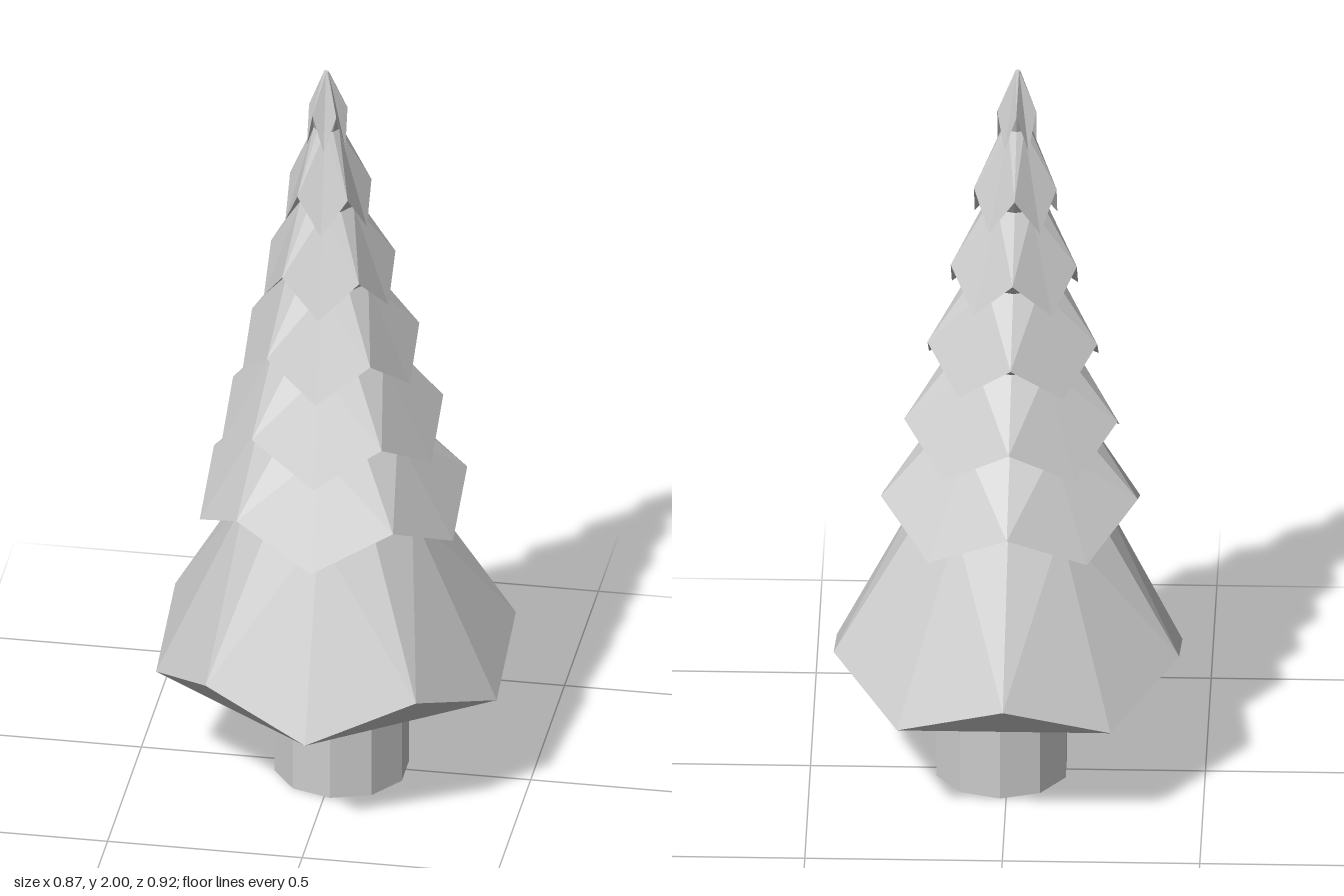
import * as THREE from 'three';

const SIDES = 10;
const TIERS = 7;

const material = new THREE.MeshStandardMaterial({ color: 0xcccccc, flatShading: true });

// Ring of points; zigzag lowers the even corners and lifts the odd ones.
// The tree leans slightly towards -x as it rises.
function ring(radius, y, zigzag = 0) {
  const lean = -0.025 * Math.max(0, y - 0.35) / 1.65;
  return Array.from({ length: SIDES }, (_, i) => {
    const a = (i / SIDES) * Math.PI * 2;
    return new THREE.Vector3(
      lean + Math.sin(a) * radius,
      y + (i % 2 ? zigzag : -zigzag),
      Math.cos(a) * radius
    );
  });
}

// Join two rings; the diagonals alternate so each facet pair mirrors its neighbour.
function band(out, lower, upper, foldAtOdd) {
  for (let i = 0; i < SIDES; i++) {
    const j = (i + 1) % SIDES;
    const [a, b, c, d] = [lower[i], lower[j], upper[j], upper[i]];
    if ((i % 2 === 1) === foldAtOdd) out.push(a, b, c, a, c, d);
    else out.push(a, b, d, b, c, d);
  }
}

function facetMesh(name, points) {
  const geometry = new THREE.BufferGeometry().setFromPoints(points);
  geometry.computeVertexNormals();
  const mesh = new THREE.Mesh(geometry, material);
  mesh.name = name;
  return mesh;
}

export function createModel() {
  const tree = new THREE.Group();
  tree.name = 'pineTree';

  // Trunk
  const trunk = new THREE.Mesh(new THREE.CylinderGeometry(0.172, 0.172, 0.31, SIDES), material);
  trunk.position.set(0.016, 0.155, 0.008);
  trunk.name = 'trunk';
  tree.add(trunk);

  // Rim radius and mid-height of each branch tier
  const rimRadius = (t) => (t === 0 ? 0.46 : 0.342 - 0.058 * (t - 1));
  const rimHeight = (t) => (t === 0 ? 0.352 : 0.782 + 0.212 * (t - 1));
  const neck = (t) => (t === TIERS ? ring(0.006, 2) : ring(rimRadius(t) * 0.66, rimHeight(t)));

  for (let t = 0; t < TIERS; t++) {
    const points = [];
    const rim = ring(rimRadius(t), rimHeight(t), 0.05);

    // Sloping skirt up to the next neck
    band(points, rim, neck(t + 1), true);

    if (t === 0) {
      // Flat five-sided base, with a bevel up to each raised corner
      const centre = new THREE.Vector3(0, rimHeight(0) - 0.05, 0);
      for (let i = 0; i < SIDES; i += 2) {
        const next = rim[(i + 2) % SIDES];
        points.push(rim[i], next, rim[i + 1], centre, next, rim[i]);
      }
    } else {
      // Overhang from the neck out to the rim
      band(points, neck(t), rim, false);
    }

    // Tiny cap closing the tip
    if (t === TIERS - 1) {
      const tip = neck(TIERS);
      for (let i = 1; i < SIDES - 1; i++) points.push(tip[0], tip[i], tip[i + 1]);
    }
    tree.add(facetMesh('branchTier' + (t + 1), points));
  }

  return tree;
}
